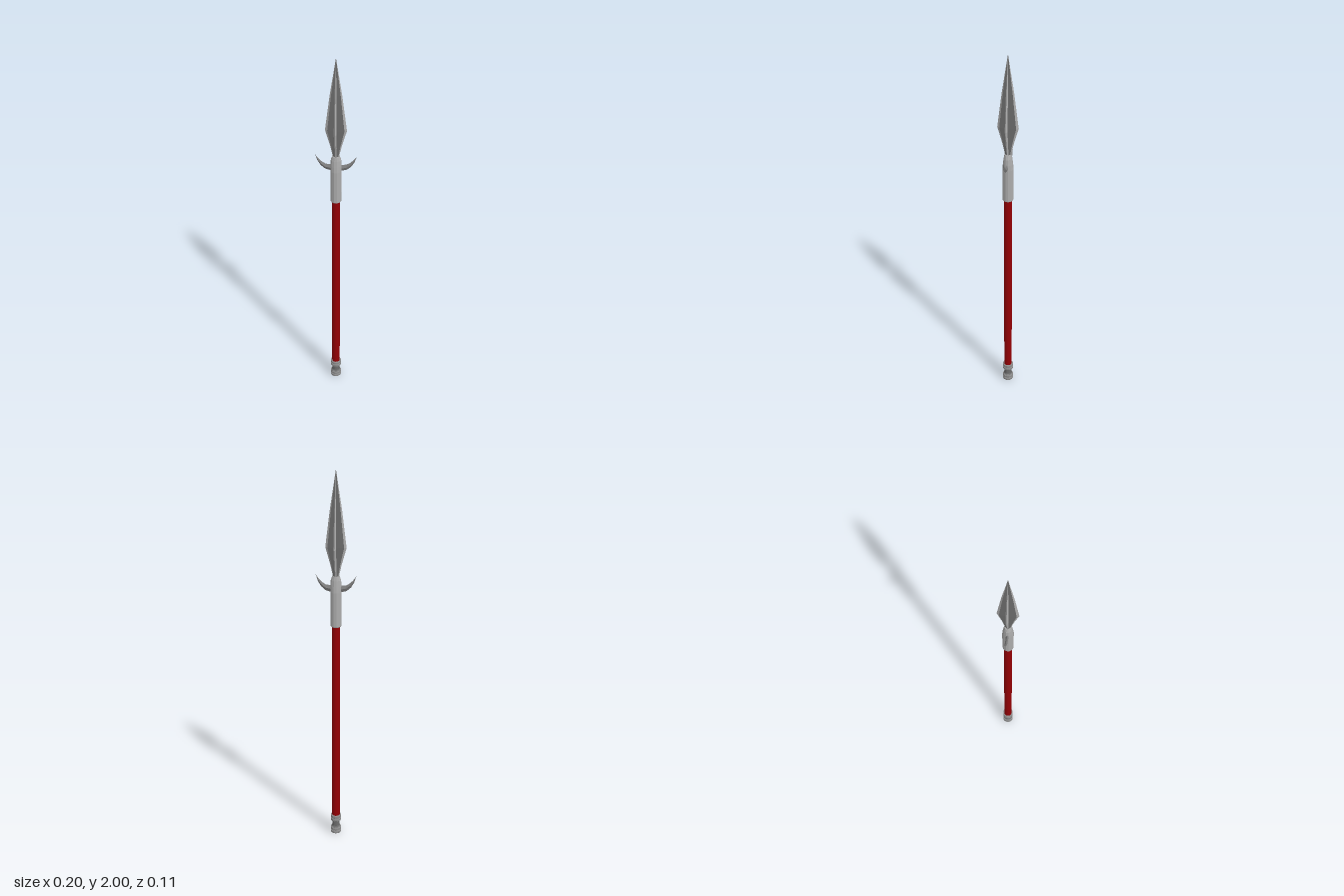
import * as THREE from 'three';

const metal = (color) => new THREE.MeshStandardMaterial({ color, flatShading: true });
const steel = metal(0xacacac);
const capSteel = metal(0x8c8c8c);
const hookSteel = metal(0x808080);
const darkSteel = metal(0x6c6c6c);
const red = new THREE.MeshStandardMaterial({ color: 0x940004 });

// Skin between rings of points, each counter-clockwise around the travel direction
function loft(rings) {
  const n = rings[0].length, pos = [];
  const tri = (...pts) => pts.forEach((p) => pos.push(...p));
  for (let k = 0; k < rings.length - 1; k++) {
    const a = rings[k], b = rings[k + 1];
    for (let i = 0; i < n; i++) {
      const j = (i + 1) % n;
      tri(a[i], a[j], b[j]);
      tri(a[i], b[j], b[i]);
    }
  }
  const geo = new THREE.BufferGeometry();
  geo.setAttribute('position', new THREE.Float32BufferAttribute(pos, 3));
  geo.computeVertexNormals();
  return geo;
}

const lathe = (profile, sides) =>
  new THREE.LatheGeometry(profile.map(([r, y]) => new THREE.Vector2(r, y)), sides);

// Four wings, cut off where the sharpened edges begin, with valleys between
function bladeRing([y, r, half, valley]) {
  const ring = [];
  const v = valley * Math.SQRT1_2;
  for (let w = 0; w < 4; w++) {
    const c = Math.cos((w * Math.PI) / 2), s = Math.sin((w * Math.PI) / 2);
    for (const [u, t] of [[r * 0.78, -half], [r * 0.78, half], [v, v]]) {
      ring.push([u * c - t * s, y, -(u * s + t * c)]);
    }
  }
  return ring;
}

// Triangular section of one sharpened edge, on the +x wing
const edgeRing = ([y, r, half]) => [[r * 0.78, y, half], [r, y, 0], [r * 0.78, y, -half]];

// Elliptical section
const ovalRing = ([y, rx, rz]) => Array.from({ length: 12 }, (_, i) => {
  const a = ((i + 0.5) / 12) * Math.PI * 2;
  return [rx * Math.cos(a), y, -rz * Math.sin(a)];
});

export function createModel() {
  const model = new THREE.Group();
  const add = (name, geo, mat) => {
    const mesh = new THREE.Mesh(geo, mat);
    mesh.name = name;
    model.add(mesh);
    return mesh;
  };

  // Wooden shaft
  const shaft = add('shaft', new THREE.CylinderGeometry(0.021, 0.021, 1.14, 12), red);
  shaft.position.y = 0.65;

  // Butt cap: two grooved collars joined by a narrow dark waist
  add('buttFoot', lathe([
    [0, 0], [0.027, 0], [0.028, 0.002], [0.028, 0.012], [0.024, 0.014], [0.024, 0.018],
    [0.028, 0.02], [0.028, 0.03], [0.025, 0.032], [0.025, 0.037], [0, 0.041],
  ], 16), capSteel);
  add('buttWaist', lathe([[0.024, 0.036], [0.02, 0.043], [0.02, 0.068], [0.024, 0.076]], 16), darkSteel);
  add('buttCollar', lathe([
    [0, 0.072], [0.027, 0.073], [0.028, 0.075], [0.028, 0.086], [0.025, 0.088],
    [0.025, 0.092], [0.028, 0.094], [0.028, 0.104], [0.026, 0.106], [0, 0.106],
  ], 16), capSteel);

  // Socket, pinched front to back at its top
  add('socket', loft([
    [1.197, 0, 0], [1.197, 0.026, 0.026], [1.2, 0.028, 0.028], [1.38, 0.028, 0.028],
    [1.41, 0.028, 0.025], [1.442, 0.026, 0.021], [1.463, 0.019, 0.017], [1.463, 0, 0],
  ].map(ovalRing)), steel);

  // Blade sections: height, wing reach, half thickness, valley depth
  const sections = [
    [1.44, 0.014, 0.005, 0.011], [1.47, 0.017, 0.005, 0.011], [1.52, 0.028, 0.006, 0.012],
    [1.61, 0.053, 0.007, 0.014], [1.8, 0.03, 0.005, 0.009], [2, 0, 0, 0],
  ];
  add('blade', loft(sections.map(bladeRing)), darkSteel);
  const edge = loft(sections.map(edgeRing));
  for (let w = 0; w < 4; w++) add('bladeEdge', edge, steel).rotation.y = (w * Math.PI) / 2;

  // Upswept side hooks: upper edge, lower edge, half thickness
  const hook = loft([
    [0, 1.425, 0, 1.376, 0.007],
    [0.026, 1.414, 0.024, 1.378, 0.007],
    [0.05, 1.416, 0.054, 1.387, 0.006],
    [0.068, 1.427, 0.076, 1.407, 0.006],
    [0.085, 1.443, 0.091, 1.433, 0.004],
    [0.102, 1.466, 0.102, 1.466, 0],
  ].map(([ux, uy, lx, ly, h]) => {
    const mx = (ux + lx) / 2, my = (uy + ly) / 2;
    return [[ux, uy, 0], [mx, my, h], [lx, ly, 0], [mx, my, -h]];
  }));
  add('leftHook', hook, hookSteel);
  add('rightHook', hook, hookSteel).rotation.y = Math.PI;

  return model;
}
